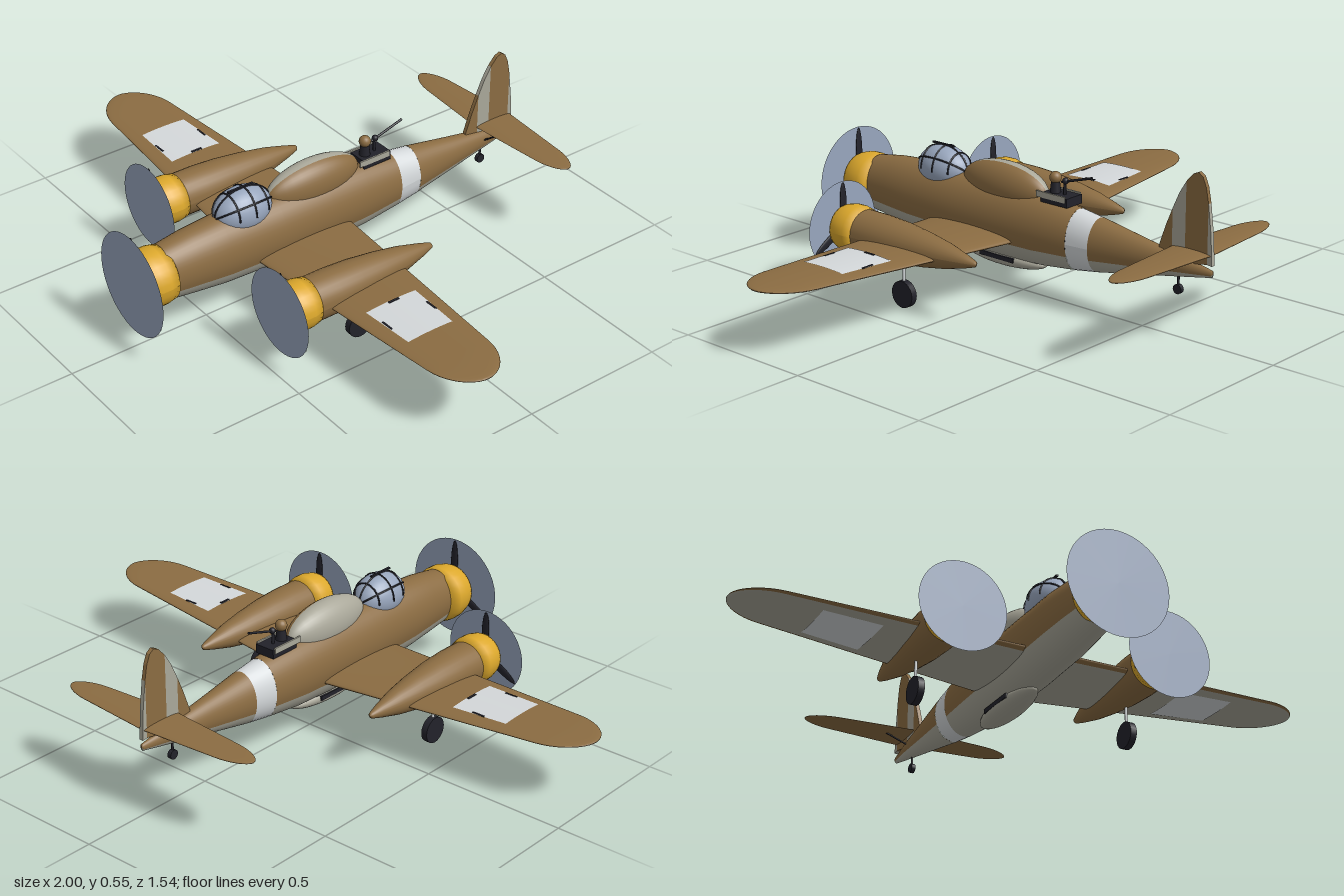
import * as THREE from 'three';

const mat = (name, color) => Object.assign(new THREE.MeshStandardMaterial({ color }), { name });
const brown = mat('earth brown', 0x8b6c42);
const belly = mat('belly grey', 0xaaa89a);
const yellow = mat('cowling yellow', 0xdca82c);
const black = mat('black', 0x22222a);
const white = mat('marking white', 0xd4d8da);
const glass = mat('pale blue glass', 0x98a6bd);
glass.side = THREE.DoubleSide;

const rad = THREE.MathUtils.degToRad;
const lerp = THREE.MathUtils.lerp;

export function createModel() {
  const model = new THREE.Group();
  model.name = 'aeroplane';

  const add = (name, geometry, material, pos = [0, 0, 0], parent = model) => {
    const m = new THREE.Mesh(geometry, material);
    m.name = name;
    m.position.set(...pos);
    parent.add(m);
    return m;
  };
  const box = (name, size, material, pos, parent) => add(name, new THREE.BoxGeometry(...size), material, pos, parent);

  // Skin over cross-sections: ring(station, angle) gives a point, angles in degrees
  const loft = (stations, ring, a0 = 0, a1 = 360, n = 28) => {
    const p = [], idx = [];
    stations.forEach((s, i) => {
      for (let j = 0; j <= n; j++) {
        p.push(...ring(s, rad(lerp(a0, a1, j / n))));
        if (i && j) {
          const d = i * (n + 1) + j, b = d - n - 1;
          idx.push(b - 1, d - 1, b, b, d - 1, d);
        }
      }
    });
    const g = new THREE.BufferGeometry();
    g.setAttribute('position', new THREE.Float32BufferAttribute(p, 3));
    g.setIndex(idx);
    g.computeVertexNormals();
    return g;
  };

  // Rod between two points
  const rod = (name, from, to, r, material, parent = model) => {
    const a = new THREE.Vector3(...from), b = new THREE.Vector3(...to);
    const m = add(name, new THREE.CylinderGeometry(r, r, a.distanceTo(b), 8), material, [0, 0, 0], parent);
    m.position.copy(a).add(b).multiplyScalar(0.5);
    m.quaternion.setFromUnitVectors(new THREE.Vector3(0, 1, 0), b.sub(a).normalize());
    return m;
  };

  // Fuselage stations: z, half width, bottom y, top y
  const body = [
    [0.66, 0.075, 0.14, 0.335], [0.56, 0.084, 0.128, 0.35], [0.45, 0.091, 0.116, 0.358],
    [0.24, 0.093, 0.107, 0.358], [0.05, 0.091, 0.106, 0.356], [-0.1, 0.085, 0.111, 0.348],
    [-0.24, 0.073, 0.126, 0.331], [-0.325, 0.065, 0.139, 0.319], [-0.5, 0.043, 0.172, 0.29],
    [-0.65, 0.025, 0.2, 0.267], [-0.765, 0.008, 0.222, 0.245], [-0.768, 0, 0.233, 0.234],
  ];
  const bodyRing = ([z, w, lo, hi], a) => [w * Math.cos(a), (lo + hi) / 2 + (hi - lo) / 2 * Math.sin(a), z];
  [body.slice(0, 7), body.slice(7)].forEach((part, i) => {
    const end = i ? 'rear' : 'front';
    add(end + 'FuselageTop', loft(part, bodyRing, -25, 205), brown);
    add(end + 'FuselageBelly', loft(part, bodyRing, 205, 335), belly);
  });
  add('fuselageBand', loft(body.slice(6, 8), bodyRing), white);

  // Lifting surfaces: elliptical sections along x with rounded tips
  const foil = ({ span, tip, lead, trail, y, rise, thick, thin }, grow = 0) => (x, a) => {
    const u = Math.abs(x), s = Math.max(0, (u - tip) / (span - tip));
    const round = Math.sqrt(Math.max(0, 1 - s * s));
    const le = lead[0] + lead[1] * u, te = trail[0] + trail[1] * u;
    const t = lerp(thick, thin, u / span) * Math.sqrt(round) + grow;
    return [x, y + rise * u + t * Math.sin(a), (le + te) / 2 + (le - te) / 2 * round * Math.cos(a)];
  };
  const spanRows = ({ span, tip }) => {
    const half = [tip * 0.5];
    for (let i = 0; i <= 10; i++) half.push(tip + (span - tip) * Math.sin(i / 10 * Math.PI / 2));
    return [...half.map(x => -x).reverse(), 0, ...half];
  };
  const wing = { span: 1, tip: 0.86, lead: [0.352, -0.065], trail: [-0.03, 0.104], y: 0.187, rise: 0.037, thick: 0.025, thin: 0.008 };
  add('wingTop', loft(spanRows(wing), foil(wing), -25, 205), brown);
  add('wingUnderside', loft(spanRows(wing), foil(wing), 205, 335), belly);
  const tail = { span: 0.385, tip: 0.28, lead: [-0.612, -0.08], trail: [-0.762, 0.08], y: 0.291, rise: 0, thick: 0.008, thin: 0.005 };
  add('tailplane', loft(spanRows(tail), foil(tail)), brown);

  // White wing panels with small dark marks, above and below
  for (const s of [-1, 1]) {
    const rows = [0.53, 0.6, 0.66, 0.725].map(x => x * s).sort((a, b) => a - b);
    add('upperWingPanel', loft(rows, foil(wing, 0.002), 49, 131, 12), white);
    add('lowerWingPanel', loft(rows, foil(wing, 0.002), 229, 311, 12), white);
    box('panelMark', [0.008, 0.004, 0.04], black, [s * 0.536, 0.2245, 0.165]);
    for (const z of [0.087, 0.258]) box('panelMark', [0.045, 0.004, 0.006], black, [s * 0.622, 0.2225, z]);
  }

  // Engines: cowling, three blades, hub and spinning disc
  const roundRing = ([z, r], a) => [r * Math.cos(a), r * Math.sin(a), z];
  const engine = (x, y, z, r, len, prop) => {
    const g = new THREE.Group();
    g.name = 'engine';
    g.position.set(x, y, z);
    model.add(g);
    add('cowling', loft([[0, r * 0.6], [0, r * 0.86], [-len * 0.12, r * 0.92], [-len * 0.4, r], [-len * 0.7, r],
      [-len, r * 0.93], [-len, 0]], roundRing), yellow, [0, 0, 0], g);
    add('engineFace', new THREE.CircleGeometry(r * 0.7, 28), black, [0, 0, -0.004], g);
    add('hub', new THREE.CylinderGeometry(0.014, 0.018, 0.02, 14).rotateX(Math.PI / 2), black, [0, 0, 0.001], g);
    for (let i = 0; i < 3; i++) {
      const blade = new THREE.SphereGeometry(0.5, 12, 10).scale(0.03, prop * 0.98, 0.009).translate(0, prop * 0.5, 0);
      add('propellerBlade', blade, black, [0, 0, 0.006], g).rotation.z = i * Math.PI * 2 / 3;
    }
    add('propellerDisc', new THREE.CircleGeometry(prop, 48), glass, [0, 0, 0.012], g);
    return g;
  };
  engine(0, 0.237, 0.755, 0.098, 0.107, 0.176);
  for (const s of [-1, 1]) {
    const g = engine(s * 0.362, 0.211, 0.457, 0.082, 0.098, 0.148);
    add('nacelle', loft([[-0.095, 0.074], [-0.18, 0.074], [-0.27, 0.069], [-0.37, 0.057], [-0.46, 0.042],
      [-0.54, 0.022], [-0.58, 0.01], [-0.587, 0]], roundRing), brown, [0, 0, 0], g);

    // Main landing gear
    const wheel = new THREE.CylinderGeometry(0.045, 0.045, 0.022, 24).rotateZ(Math.PI / 2);
    add('mainWheel', wheel, black, [s * 0.376, 0.046, 0.175]);
    rod('landingGearLeg', [s * 0.376, 0.05, 0.175], [s * 0.376, 0.2, 0.175], 0.005, white);
    rod('tailplaneStrut', [s * 0.015, 0.235, -0.63], [s * 0.09, 0.288, -0.67], 0.003, black);
  }
  add('tailWheel', new THREE.CylinderGeometry(0.016, 0.016, 0.014, 16).rotateZ(Math.PI / 2), black, [0, 0.157, -0.638]);
  rod('tailWheelLeg', [0, 0.157, -0.638], [0, 0.21, -0.638], 0.004, black);

  // Fin in upright stripes: outline as [z, top y]
  const fin = [[-0.565, 0.285], [-0.59, 0.355], [-0.615, 0.415], [-0.64, 0.47], [-0.665, 0.51], [-0.69, 0.538],
    [-0.71, 0.547], [-0.727, 0.535], [-0.74, 0.505], [-0.75, 0.455], [-0.762, 0.36], [-0.768, 0.262]];
  [[0, 2, brown], [2, 4, belly], [4, 9, brown], [9, 11, belly]].forEach(([a, b, m]) => {
    const pts = fin.slice(a, b + 1);
    const low = z => lerp(0.262, 0.235, (-z - 0.565) / 0.2) + (z < -0.745 ? 0.025 : 0);
    const outline = [[pts[0][0], low(pts[0][0])], ...pts, [pts.at(-1)[0], low(pts.at(-1)[0])]];
    const shape = new THREE.Shape(outline.map(([z, y]) => new THREE.Vector2(-z, y)));
    const g = new THREE.ExtrudeGeometry(shape, { depth: 0.014, bevelEnabled: false });
    add('finStripe', g.translate(0, 0, -0.007).rotateY(Math.PI / 2), m);
  });

  // Glazed canopy with frames
  const canopy = new THREE.Group();
  canopy.name = 'canopy';
  canopy.position.set(0, 0.35, 0.35);
  model.add(canopy);
  const R = [0.071, 0.078, 0.104];
  add('canopyGlass', new THREE.SphereGeometry(1, 28, 18).scale(...R), glass, [0, 0, 0], canopy);
  for (const z of [-0.065, -0.008, 0.05]) {
    const k = Math.sqrt(1 - (z / R[2]) ** 2) * 1.01;
    const hoop = new THREE.EllipseCurve(0, 0, R[0] * k, R[1] * k, 0, Math.PI).getPoints(16)
      .map(p => new THREE.Vector3(p.x, p.y, z));
    add('canopyHoop', new THREE.TubeGeometry(new THREE.CatmullRomCurve3(hoop), 20, 0.003, 5), black, [0, 0, 0], canopy);
  }
  for (const lean of [-55, 0, 55]) {
    const c = Math.cos(rad(lean)), s = Math.sin(rad(lean));
    const rail = new THREE.EllipseCurve(0, 0, R[2] * 1.01, 1.01, 0, Math.PI).getPoints(16)
      .map(p => new THREE.Vector3(p.y * R[0] * s, p.y * R[1] * c, p.x));
    add('canopyRail', new THREE.TubeGeometry(new THREE.CatmullRomCurve3(rail), 20, 0.003, 5), black, [0, 0, 0], canopy);
  }
  box('canopyTopRail', [0.008, 0.006, 0.095], black, [0, 0.08, 0.005], canopy);

  // Two-tone hump behind the canopy
  const humpRows = Array.from({ length: 17 }, (_, i) => Math.cos(i / 16 * Math.PI));
  const humpRing = (c, a) => {
    const k = Math.sqrt(Math.max(0, 1 - c * c));
    return [0.062 * k * Math.cos(a), 0.345 + 0.083 * k * Math.sin(a), 0.075 + 0.18 * c];
  };
  add('humpLeft', loft(humpRows, humpRing, -60, 75, 16), brown);
  add('humpRight', loft(humpRows, humpRing, 75, 240, 16), belly);

  // Open gunner position with gunner and gun
  box('gunnerWell', [0.074, 0.03, 0.11], black, [0, 0.35, -0.162]);
  for (const s of [-1, 1]) box('wellRim', [0.006, 0.02, 0.12], belly, [s * 0.037, 0.36, -0.15]);
  add('gunnerBody', new THREE.CylinderGeometry(0.014, 0.02, 0.05, 14), black, [0, 0.38, -0.138]);
  add('gunnerHead', new THREE.SphereGeometry(0.02, 18, 12), brown, [0, 0.414, -0.138]);
  rod('gunPost', [0, 0.35, -0.177], [0, 0.408, -0.177], 0.005, black);
  add('gunPivot', new THREE.SphereGeometry(0.011, 12, 8), black, [0, 0.41, -0.18]);
  rod('gunBarrel', [0, 0.404, -0.165], [0, 0.441, -0.29], 0.004, black);

  // Belly gondola with side slots
  add('gondola', new THREE.SphereGeometry(1, 28, 16).scale(0.05, 0.032, 0.175), belly, [0, 0.106, 0.075]);
  for (const s of [-1, 1]) box('gondolaSlot', [0.008, 0.015, 0.145], black, [s * 0.046, 0.111, 0.075]);

  return model;
}
